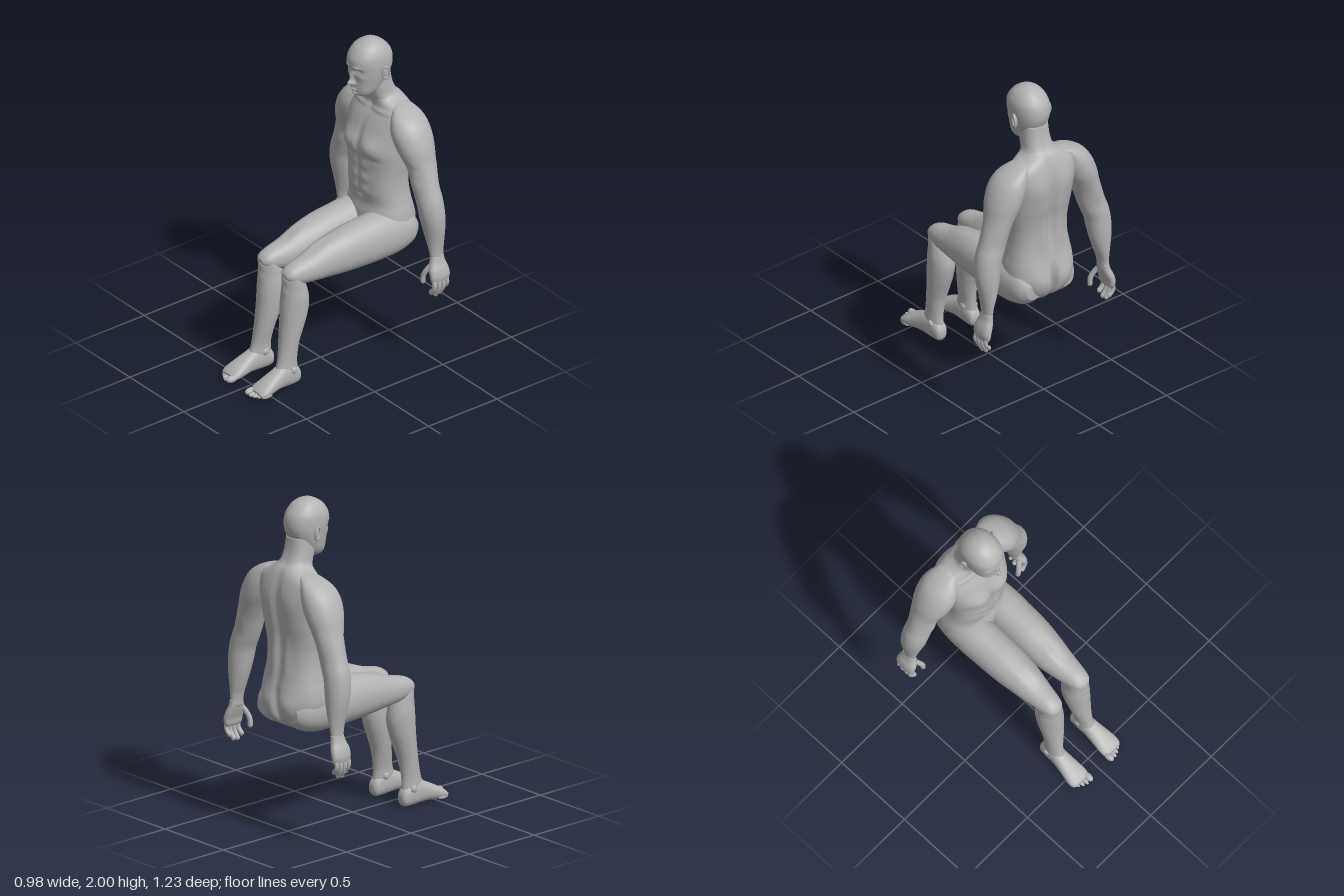
import * as THREE from 'three';

const skin = new THREE.MeshStandardMaterial({ color: 0xb2b2b2 });
skin.name = 'grey skin';

// Smooth interpolation through the rows of a station table
function sample(rows, f) {
  const n = rows.length - 1, i = Math.min(Math.floor(f), n - 1), t = f - i;
  const row = (k) => rows[Math.max(0, Math.min(n, k))];
  return rows[0].map((_, c) => {
    const a = row(i - 1)[c], b = row(i)[c], d = row(i + 1)[c], e = row(i + 2)[c];
    return b + 0.5 * t * (d - a + t * (2 * a - 5 * b + 4 * d - e + t * (3 * (b - d) + e - a)));
  });
}

// Closed loft along y or z. Station: [t, x0, x1, v0, v1], v being the other axis.
// Bump: [x, t, width, length, amount, side], pushes the v+ (1) or v- (-1) side outward.
function loft(axis, stations, { seg = 40, rows = 50, power = 2, bumps = [] } = {}) {
  const pos = [], idx = [];
  const put = (x, t, v) => (axis === 'y' ? pos.push(x, t, v) : pos.push(x, v, t));
  const round = (c) => Math.sign(c) * Math.abs(c) ** (2 / power);
  const tri = (a, b, c) => (axis === 'y' ? idx.push(a, c, b) : idx.push(a, b, c));
  for (let r = 0; r <= rows; r++) {
    const [t, x0, x1, v0, v1] = sample(stations, (r / rows) * (stations.length - 1));
    for (let s = 0; s < seg; s++) {
      const a = (s / seg) * Math.PI * 2, sin = Math.sin(a);
      const x = (x0 + x1) / 2 + ((x1 - x0) / 2) * round(Math.cos(a));
      let v = (v0 + v1) / 2 + ((v1 - v0) / 2) * round(sin);
      for (const [bx, bt, wx, wt, amount, side] of bumps) {
        if (side * sin <= 0) continue;
        const dx = (Math.abs(x) - bx) / wx, dt = (t - bt) / wt;
        v += side * amount * Math.abs(sin) * Math.exp(-dx * dx - dt * dt);
      }
      put(x, t, v);
      if (r < rows) {
        const p = r * seg + s, q = r * seg + ((s + 1) % seg);
        tri(p, q, q + seg);
        tri(p, q + seg, p + seg);
      }
    }
  }
  // End caps
  [[0, stations[0]], [rows * seg, stations[stations.length - 1]]].forEach(([base, [t, x0, x1, v0, v1]], end) => {
    const c = pos.length / 3;
    put((x0 + x1) / 2, t, (v0 + v1) / 2);
    for (let s = 0; s < seg; s++) {
      const p = base + s, q = base + ((s + 1) % seg);
      end ? tri(p, q, c) : tri(q, p, c);
    }
  });
  const g = new THREE.BufferGeometry();
  g.setAttribute('position', new THREE.Float32BufferAttribute(pos, 3));
  g.setIndex(idx);
  g.computeVertexNormals();
  return g;
}

function ball(x, y, z, rx, ry, rz) {
  return new THREE.SphereGeometry(1, 20, 14).scale(rx, ry, rz).translate(x, y, z);
}

function mirrored(geometry) {
  const g = geometry.clone().scale(-1, 1, 1), i = g.index.array;
  for (let k = 0; k < i.length; k += 3) [i[k], i[k + 1]] = [i[k + 1], i[k]];
  return g;
}

// The knees sit slightly toward the model's left
function lean(g) {
  const p = g.attributes.position;
  for (let i = 0; i < p.count; i++) p.setX(i, p.getX(i) + 0.011 * THREE.MathUtils.smoothstep(p.getY(i), 0.1, 0.5));
  return g;
}

export function createModel() {
  const model = new THREE.Group();
  model.name = 'seatedFigure';
  const add = (name, g) => {
    const m = new THREE.Mesh(g, skin);
    m.name = name;
    model.add(m);
  };
  const pair = (name, g, fix = (k) => k) => {
    const other = mirrored(g);
    add(name + 'Left', fix(g));
    add(name + 'Right', fix(other));
  };
  const centred = (rows) => rows.map(([y, w, back, front]) => [y, -w, w, back, front]);

  // Torso and neck, with chest, belly, spine and seat shaped by bumps
  add('torso', loft('y', centred([
    [0.64, 0.07, -0.50, -0.36], [0.67, 0.13, -0.55, -0.32], [0.72, 0.185, -0.585, -0.29],
    [0.80, 0.215, -0.598, -0.27], [0.88, 0.213, -0.592, -0.277], [0.95, 0.2, -0.58, -0.29],
    [1.03, 0.19, -0.57, -0.278], [1.12, 0.19, -0.566, -0.276], [1.20, 0.2, -0.573, -0.276],
    [1.28, 0.21, -0.588, -0.268], [1.36, 0.217, -0.596, -0.28], [1.44, 0.228, -0.598, -0.305],
    [1.50, 0.235, -0.59, -0.335], [1.545, 0.225, -0.578, -0.362], [1.58, 0.17, -0.565, -0.368],
    [1.61, 0.112, -0.548, -0.362], [1.64, 0.09, -0.52, -0.347], [1.70, 0.084, -0.495, -0.33],
    [1.78, 0.08, -0.48, -0.33],
  ]), {
    seg: 120, rows: 126, power: 2.4, bumps: [
      [0.1, 1.33, 0.085, 0.06, 0.03, 1], [0.1, 1.255, 0.07, 0.02, -0.01, 1],
      [0, 1.34, 0.014, 0.11, -0.012, 1], [0, 1.1, 0.01, 0.14, -0.007, 1],
      [0.045, 1.2, 0.035, 0.028, 0.008, 1], [0.045, 1.12, 0.035, 0.028, 0.009, 1],
      [0.045, 1.04, 0.035, 0.028, 0.008, 1], [0, 0.99, 0.014, 0.01, -0.014, 1],
      [0.1, 1.545, 0.08, 0.012, 0.009, 1], [0, 1.57, 0.018, 0.03, -0.01, 1],
      [0.12, 1.41, 0.07, 0.09, 0.01, -1], [0, 1.26, 0.028, 0.27, -0.024, -1],
      [0.055, 1.08, 0.03, 0.12, 0.008, -1], [0.1, 0.79, 0.075, 0.09, 0.022, -1],
      [0, 0.76, 0.016, 0.11, -0.045, -1],
    ],
  }));

  // Head with brow, eyes, nose, mouth and chin
  add('head', loft('y', centred([
    [1.645, 0.03, -0.34, -0.285], [1.66, 0.055, -0.37, -0.258], [1.69, 0.075, -0.41, -0.244],
    [1.73, 0.088, -0.45, -0.239], [1.78, 0.1, -0.48, -0.234], [1.83, 0.107, -0.497, -0.226],
    [1.88, 0.109, -0.496, -0.22], [1.92, 0.103, -0.482, -0.232], [1.96, 0.082, -0.45, -0.262],
    [1.985, 0.053, -0.415, -0.30], [1.996, 0.025, -0.385, -0.33], [2.0, 0.002, -0.362, -0.358],
  ]), {
    seg: 160, rows: 121, power: 2.2, bumps: [
      [0, 1.752, 0.014, 0.018, 0.038, 1], [0, 1.79, 0.012, 0.03, 0.018, 1],
      [0.017, 1.746, 0.009, 0.011, 0.014, 1], [0.04, 1.856, 0.03, 0.01, 0.009, 1],
      [0.042, 1.83, 0.022, 0.014, -0.02, 1], [0.042, 1.827, 0.015, 0.008, 0.011, 1],
      [0.065, 1.79, 0.02, 0.02, 0.006, 1], [0, 1.722, 0.024, 0.006, 0.011, 1],
      [0, 1.703, 0.022, 0.007, 0.01, 1], [0, 1.713, 0.028, 0.003, -0.007, 1],
      [0, 1.69, 0.02, 0.006, -0.006, 1], [0, 1.67, 0.026, 0.013, 0.013, 1],
    ],
  }));

  // Ears: a flat shell with a raised rim
  const ear = (g) => g.rotateY(-0.35).rotateX(0.15).translate(0.116, 1.815, -0.383);
  pair('ear', ear(ball(0, 0, 0, 0.01, 0.04, 0.022)));
  pair('earRim', ear(new THREE.TorusGeometry(0.026, 0.006, 8, 28).rotateY(Math.PI / 2).scale(1, 1.5, 0.85).translate(0.008, 0, 0)));

  // Arms from wrist to shoulder
  pair('arm', loft('y', [
    [0.66, 0.405, 0.455, -0.55, -0.47], [0.73, 0.398, 0.458, -0.555, -0.46], [0.80, 0.375, 0.468, -0.562, -0.447],
    [0.88, 0.352, 0.482, -0.566, -0.43], [0.95, 0.338, 0.488, -0.566, -0.415], [1.02, 0.325, 0.484, -0.563, -0.407],
    [1.08, 0.30, 0.472, -0.56, -0.405], [1.14, 0.277, 0.45, -0.556, -0.405], [1.22, 0.25, 0.425, -0.56, -0.4],
    [1.30, 0.215, 0.4, -0.575, -0.375], [1.38, 0.17, 0.382, -0.588, -0.35], [1.46, 0.14, 0.35, -0.588, -0.342],
    [1.52, 0.13, 0.308, -0.575, -0.36], [1.56, 0.12, 0.25, -0.555, -0.39], [1.585, 0.11, 0.19, -0.53, -0.42],
    [1.595, 0.13, 0.15, -0.49, -0.46],
  ], {
    rows: 75, bumps: [[0.35, 1.17, 0.05, 0.06, 0.01, 1], [0.37, 1.27, 0.08, 0.018, -0.006, 1],
      [0.35, 1.22, 0.05, 0.07, 0.008, -1]],
  }));

  // Hands
  pair('palm', loft('y', [
    [0.535, 0.448, 0.482, -0.562, -0.452], [0.55, 0.44, 0.486, -0.57, -0.445], [0.58, 0.435, 0.49, -0.574, -0.44],
    [0.62, 0.42, 0.482, -0.57, -0.442], [0.66, 0.408, 0.465, -0.558, -0.457], [0.70, 0.406, 0.455, -0.553, -0.467],
  ], { rows: 25, power: 2.5 }));
  const digit = (name, points, r) => {
    const pts = points.map((p) => new THREE.Vector3(...p)), end = pts[pts.length - 1];
    pair(name, new THREE.TubeGeometry(new THREE.CatmullRomCurve3(pts), 14, r, 12));
    pair(name + 'Tip', ball(end.x, end.y, end.z, r, r * 1.2, r));
  };
  [[-0.46, 0.475], [-0.491, 0.455], [-0.522, 0.46], [-0.551, 0.485]].forEach(([z, tip], i) =>
    digit('finger' + (i + 1), [[0.463, 0.57, z], [0.474, 0.53, z], [0.468, (tip + 0.53) / 2, z], [0.447, tip, z + 0.003]], i === 3 ? 0.0125 : 0.0145));
  digit('thumb', [[0.43, 0.645, -0.468], [0.41, 0.605, -0.447], [0.396, 0.57, -0.438], [0.393, 0.535, -0.438]], 0.0155);

  // Thighs reach forward from the hips
  pair('thigh', loft('z', [
    [-0.575, 0.06, 0.17, 0.70, 0.80], [-0.52, 0.02, 0.212, 0.65, 0.87], [-0.42, 0.0, 0.23, 0.62, 0.90],
    [-0.30, -0.004, 0.235, 0.615, 0.908], [-0.20, -0.004, 0.232, 0.615, 0.902], [-0.05, -0.003, 0.226, 0.622, 0.885],
    [0.08, 0.005, 0.21, 0.632, 0.85], [0.18, 0.022, 0.194, 0.64, 0.815], [0.25, 0.036, 0.184, 0.648, 0.798],
    [0.30, 0.046, 0.175, 0.66, 0.786], [0.34, 0.06, 0.163, 0.685, 0.765], [0.363, 0.085, 0.138, 0.71, 0.74],
  ], { rows: 66, power: 2.15, bumps: [[0.07, 0.12, 0.03, 0.07, 0.012, 1], [0.155, 0.08, 0.03, 0.1, 0.01, 1]] }), lean);

  // Lower legs with calf and kneecap
  pair('lowerLeg', loft('y', [
    [0.06, 0.085, 0.165, 0.27, 0.41], [0.12, 0.08, 0.166, 0.274, 0.42], [0.18, 0.077, 0.165, 0.276, 0.405],
    [0.28, 0.058, 0.17, 0.263, 0.391], [0.36, 0.045, 0.176, 0.238, 0.384], [0.44, 0.035, 0.182, 0.212, 0.378],
    [0.52, 0.03, 0.184, 0.196, 0.375], [0.58, 0.032, 0.184, 0.2, 0.37], [0.64, 0.04, 0.178, 0.217, 0.365],
    [0.70, 0.046, 0.174, 0.245, 0.36], [0.74, 0.056, 0.165, 0.262, 0.35], [0.772, 0.08, 0.143, 0.285, 0.33],
  ], { rows: 66, bumps: [[0.11, 0.71, 0.03, 0.03, 0.009, 1], [0.11, 0.63, 0.02, 0.025, 0.005, 1]] }), lean);
  pair('innerAnkle', ball(0.083, 0.125, 0.335, 0.012, 0.022, 0.022));
  pair('outerAnkle', ball(0.166, 0.11, 0.325, 0.012, 0.022, 0.02));

  // Feet and toes
  pair('foot', loft('z', [
    [0.258, 0.105, 0.145, 0.035, 0.075], [0.275, 0.086, 0.162, 0.008, 0.11], [0.32, 0.08, 0.17, 0.003, 0.145],
    [0.38, 0.078, 0.174, 0.006, 0.152], [0.43, 0.075, 0.181, 0.01, 0.13], [0.48, 0.07, 0.19, 0.006, 0.105],
    [0.53, 0.066, 0.197, 0.004, 0.078], [0.56, 0.068, 0.194, 0.006, 0.058], [0.578, 0.078, 0.18, 0.014, 0.044],
  ], { rows: 45, power: 2.3 }));
  [[0.086, 0.021, 0.617], [0.115, 0.014, 0.613], [0.139, 0.0135, 0.603], [0.162, 0.013, 0.588], [0.183, 0.0125, 0.57]]
    .forEach(([x, r, tip], i) => pair('toe' + (i + 1), ball(x, r + 0.008, tip - 0.035, r, r, 0.037)));

  return model;
}
